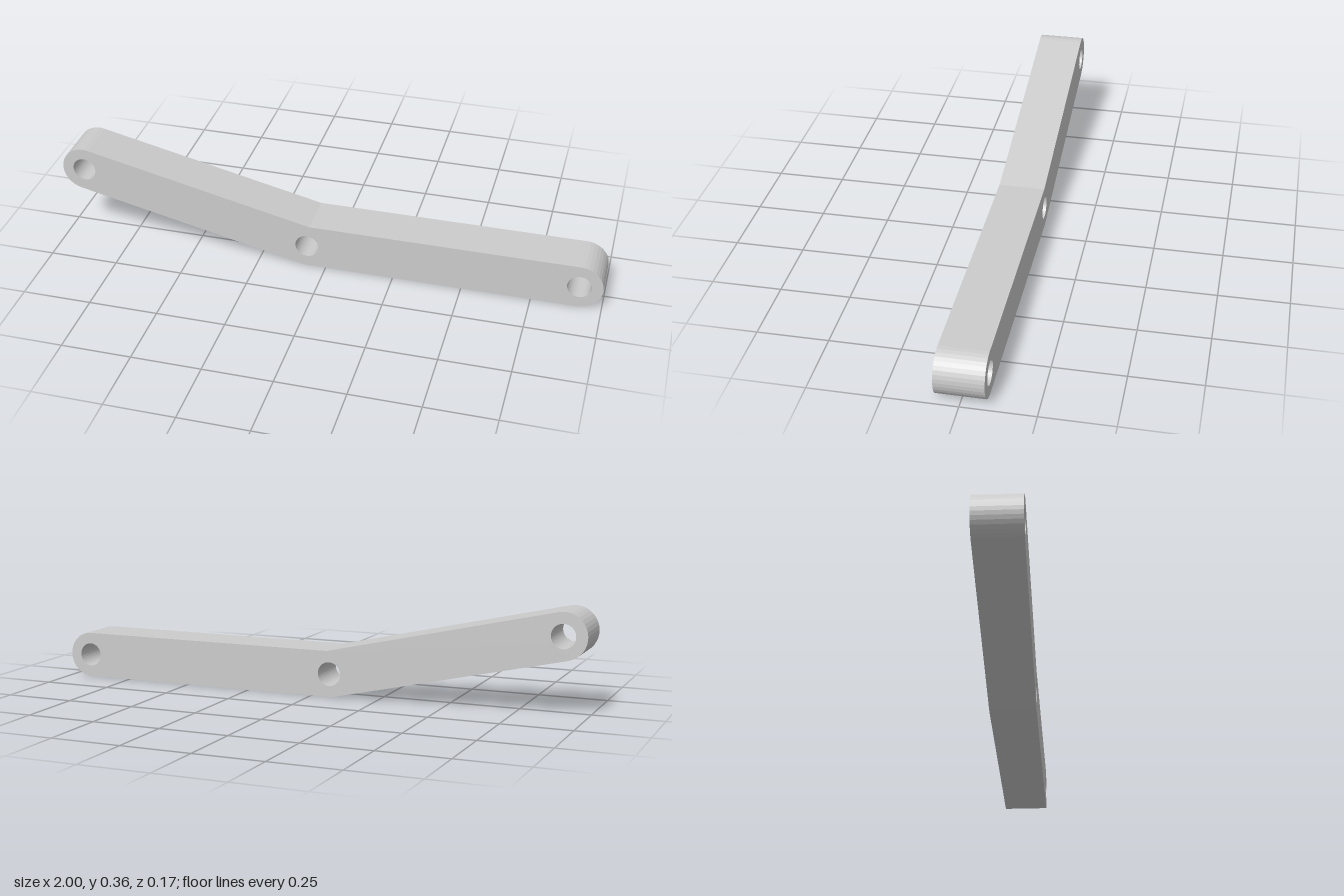
import * as THREE from 'three';

const R = 0.0835, HOLE = 0.043, DEPTH = 0.167;
const RIGHT = [0.9165, R], BEND = [-0.07, R], LEFT = [-0.9165, 0.277];

// Points along an arc around a pivot
function arc([cx, cy], r, from, to, steps) {
  return Array.from({ length: steps + 1 }, (_, i) => {
    const a = from + (to - from) * i / steps;
    return new THREE.Vector2(cx + r * Math.cos(a), cy + r * Math.sin(a));
  });
}

export function createModel() {
  const group = new THREE.Group();
  group.name = 'bentLinkArm';

  // Tilt of the raised section and its mitred inner corner
  const tilt = Math.atan2(LEFT[1] - BEND[1], BEND[0] - LEFT[0]);
  const up = Math.PI / 2;
  const corner = new THREE.Vector2(BEND[0] + R * Math.tan(tilt / 2), BEND[1] + R);

  // Outline: round end, inner corner, round end, outer bend
  const outline = new THREE.Shape([
    ...arc(RIGHT, R, -up, up, 18),
    corner,
    ...arc(LEFT, R, up - tilt, 3 * up - tilt, 18),
    ...arc(BEND, R, 3 * up - tilt, 3 * up, 2),
  ]);

  // Pivot holes
  for (const pivot of [RIGHT, BEND, LEFT]) {
    outline.holes.push(new THREE.Path(arc(pivot, HOLE, 0, -2 * Math.PI, 36)));
  }

  const geometry = new THREE.ExtrudeGeometry(outline, { depth: DEPTH, bevelEnabled: false });
  geometry.translate(0, 0, -DEPTH / 2);
  const arm = new THREE.Mesh(geometry, new THREE.MeshStandardMaterial({ color: 0xcccccc }));
  arm.name = 'arm';
  group.add(arm);
  return group;
}
